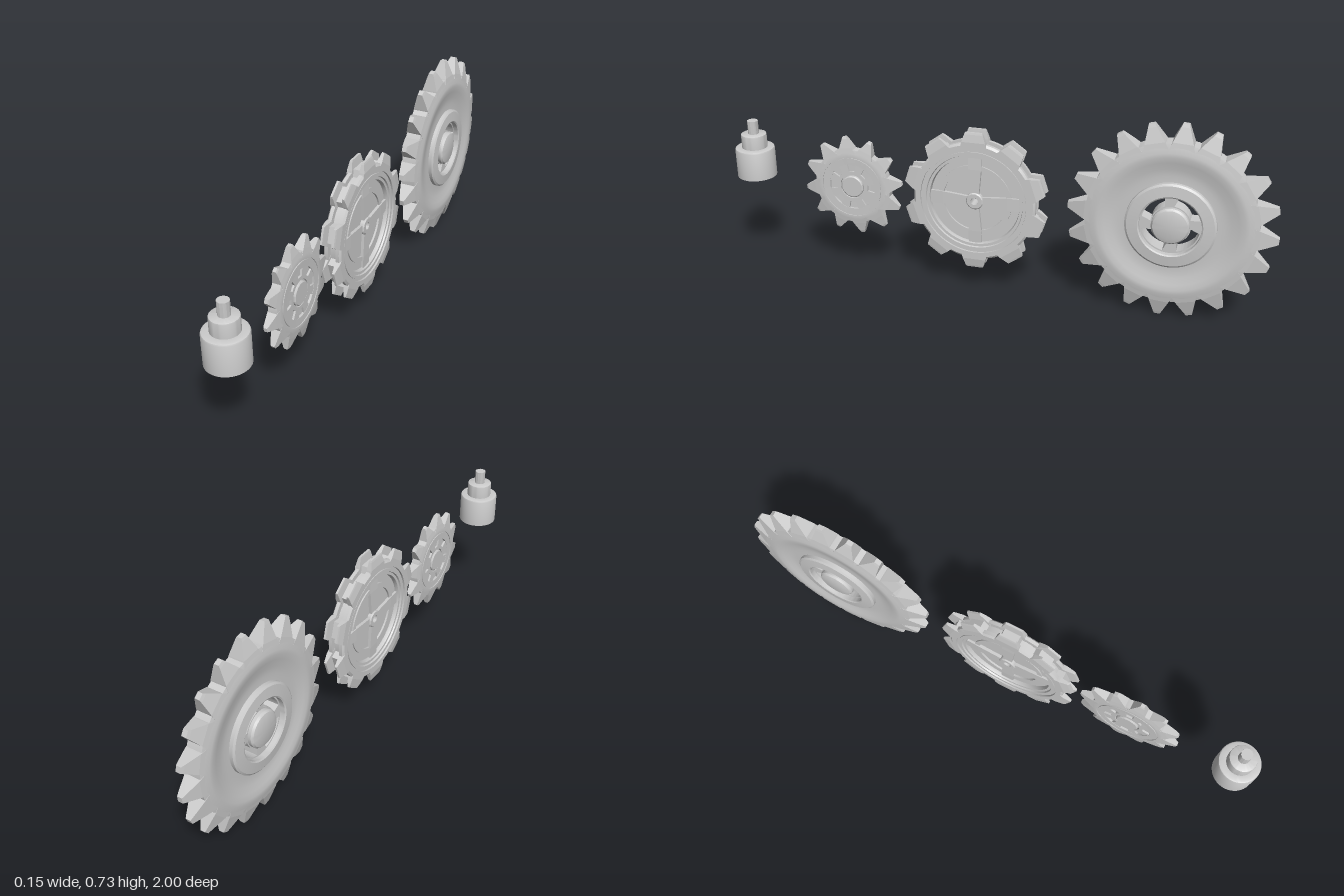
import * as THREE from 'three';
import { mergeGeometries, toCreasedNormals } from 'three/addons/utils/BufferGeometryUtils.js';

const smooth = new THREE.MeshStandardMaterial({ color: 0xcccccc });
const flat = new THREE.MeshStandardMaterial({ color: 0xcccccc, flatShading: true });
const open = new THREE.MeshStandardMaterial({ color: 0xcccccc, side: THREE.DoubleSide });

function add(group, name, geometry, material = smooth) {
  const mesh = new THREE.Mesh(geometry, material);
  mesh.name = name;
  group.add(mesh);
  return mesh;
}

// Disc symmetric about its mid plane, from a half profile [radius, height] running outwards
function disc(half, segments = 72) {
  const pts = [
    ...half.map(([r, w]) => new THREE.Vector2(r, -w)),
    ...half.slice().reverse().map(([r, w]) => new THREE.Vector2(r, w)),
  ];
  if (half[0][0] > 0) pts.push(pts[0].clone());
  return toCreasedNormals(new THREE.LatheGeometry(pts, segments).rotateX(Math.PI / 2), 0.5);
}

// Tapered block along +x from sections [radius, half width, low face, high face]
function block(sections) {
  const g = new THREE.BoxGeometry(1, 1, 1, sections.length - 1, 1, 1);
  const p = g.attributes.position;
  for (let i = 0; i < p.count; i++) {
    const [r, b, lo, hi] = sections[Math.round((p.getX(i) + 0.5) * (sections.length - 1))];
    p.setXYZ(i, r, Math.sign(p.getY(i)) * b, p.getZ(i) > 0 ? hi : lo);
  }
  g.computeVertexNormals();
  return g;
}

// Copies of a geometry around the axle
function ring(geometry, count, startDeg) {
  const copies = [];
  for (let i = 0; i < count; i++) {
    copies.push(geometry.clone().rotateZ(THREE.MathUtils.degToRad(startDeg) + (i * 2 * Math.PI) / count));
  }
  return mergeGeometries(copies);
}

// Wheel group with its axle along x
function wheel(name, z) {
  const g = new THREE.Group();
  g.name = name;
  g.position.set(0, 0.365, z);
  g.rotation.y = Math.PI / 2;
  return g;
}

function createLargeWheel() {
  const g = wheel('largeWheel', -0.637);
  // Dished body with raised inner ring
  add(g, 'dishedBody', disc([
    [0.107, 0.044], [0.112, 0.047], [0.15, 0.043], [0.157, 0.038], [0.157, 0.025],
    [0.18, 0.024], [0.205, 0.027], [0.23, 0.033], [0.25, 0.037], [0.265, 0.037], [0.298, 0.028],
  ], 80));
  // Slotted web
  const web = new THREE.Shape().absarc(0, 0, 0.109, 0, Math.PI * 2);
  for (let i = 0; i < 4; i++) {
    const a = (i * Math.PI) / 2 + 0.25, b = a + 1.1;
    const slot = new THREE.Path();
    slot.absarc(0, 0, 0.102, a, b, false);
    slot.absarc(0, 0, 0.07, b + 0.1, a + 0.1, true);
    slot.closePath();
    web.holes.push(slot);
  }
  const webGeo = new THREE.ExtrudeGeometry(web, { depth: 0.052, bevelEnabled: false, curveSegments: 24 });
  add(g, 'slottedWeb', toCreasedNormals(webGeo.translate(0, 0, -0.026), 0.5));
  add(g, 'hub', disc([[0, 0.05], [0.045, 0.049], [0.06, 0.045], [0.066, 0.038]], 40));
  const tooth = block([
    [0.26, 0.048, -0.036, 0.036], [0.3, 0.035, -0.029, 0.029],
    [0.352, 0.015, -0.013, 0.013], [0.363, 0.011, -0.009, 0.009],
  ]);
  add(g, 'teeth', ring(tooth, 20, 86), flat);
  return g;
}

function createMiddleWheel() {
  const g = wheel('middleWheel', 0.0615);
  // Stepped rims with a groove between them, and a recessed web
  add(g, 'steppedBody', disc([
    [0.014, 0.008], [0.118, 0.008], [0.118, 0.015], [0.136, 0.015], [0.136, 0.01], [0.165, 0.01],
    [0.168, 0.024], [0.178, 0.024], [0.18, 0.03], [0.192, 0.03], [0.192, 0.026], [0.2, 0.026],
    [0.2, 0.033], [0.218, 0.033], [0.226, 0.027], [0.226, 0.014], [0.207, 0.014],
  ]));
  add(g, 'hub', disc([[0.014, 0.024], [0.028, 0.024], [0.032, 0.02]], 32));
  const spoke = block([[0.022, 0.015, -0.019, 0.019], [0.12, 0.024, -0.019, 0.019], [0.168, 0.024, -0.017, 0.017]]);
  add(g, 'spokes', ring(spoke, 4, 0), flat);
  // Paired teeth on both rims
  for (const s of [-1, 1]) {
    const span = (a, b) => (s > 0 ? [a, b] : [-b, -a]);
    const tooth = block([
      [0.2, 0.05, ...span(0.013, 0.033)], [0.228, 0.043, ...span(0.014, 0.033)],
      [0.256, 0.034, ...span(0.017, 0.028)], [0.263, 0.031, ...span(0.018, 0.026)],
    ]);
    add(g, s > 0 ? 'leftTeeth' : 'rightTeeth', ring(tooth, 10, 90), flat);
  }
  const rung = block([[0.19, 0.04, -0.016, 0.016], [0.23, 0.03, -0.016, 0.016]]);
  add(g, 'rungs', ring(rung, 10, 90), flat);
  return g;
}

function createSmallWheel() {
  const g = wheel('smallWheel', 0.532);
  // Body with a hub, a pocketed recess and a bevelled rim
  add(g, 'body', disc([
    [0, 0.022], [0.038, 0.022], [0.042, 0.019], [0.042, 0.011], [0.088, 0.011], [0.088, 0.019],
    [0.112, 0.02], [0.112, 0.017], [0.117, 0.017], [0.117, 0.02], [0.128, 0.02], [0.145, 0.016],
  ], 60));
  add(g, 'hubRing', disc([[0.047, 0.018], [0.06, 0.018]], 40));
  const rib = block([[0.055, 0.012, -0.018, 0.018], [0.09, 0.018, -0.018, 0.018]]);
  add(g, 'ribs', ring(rib, 8, 22.5), flat);
  const tooth = block([
    [0.125, 0.036, -0.02, 0.02], [0.15, 0.025, -0.016, 0.016],
    [0.184, 0.01, -0.009, 0.009], [0.191, 0.007, -0.006, 0.006],
  ]);
  add(g, 'teeth', ring(tooth, 12, 98), flat);
  return g;
}

// Stepped upright shaft, open underneath
function createShaft() {
  const g = new THREE.Group();
  g.name = 'steppedShaft';
  g.position.set(0, 0.363, 0.927);
  const lathe = (pts, n) =>
    toCreasedNormals(new THREE.LatheGeometry(pts.map(([r, y]) => new THREE.Vector2(r, y)), n), 0.6);
  add(g, 'collar', lathe([
    [0.073, 0], [0.073, 0.106], [0.071, 0.111], [0.066, 0.113], [0.047, 0.113],
    [0.047, 0.16], [0.046, 0.164], [0.042, 0.166], [0, 0.166],
  ], 40), open);
  add(g, 'pin', lathe([[0.02, 0.16], [0.02, 0.216], [0, 0.216]], 12));
  return g;
}

export function createModel() {
  const model = new THREE.Group();
  model.name = 'gearSet';
  model.add(createLargeWheel(), createMiddleWheel(), createSmallWheel(), createShaft());
  return model;
}
